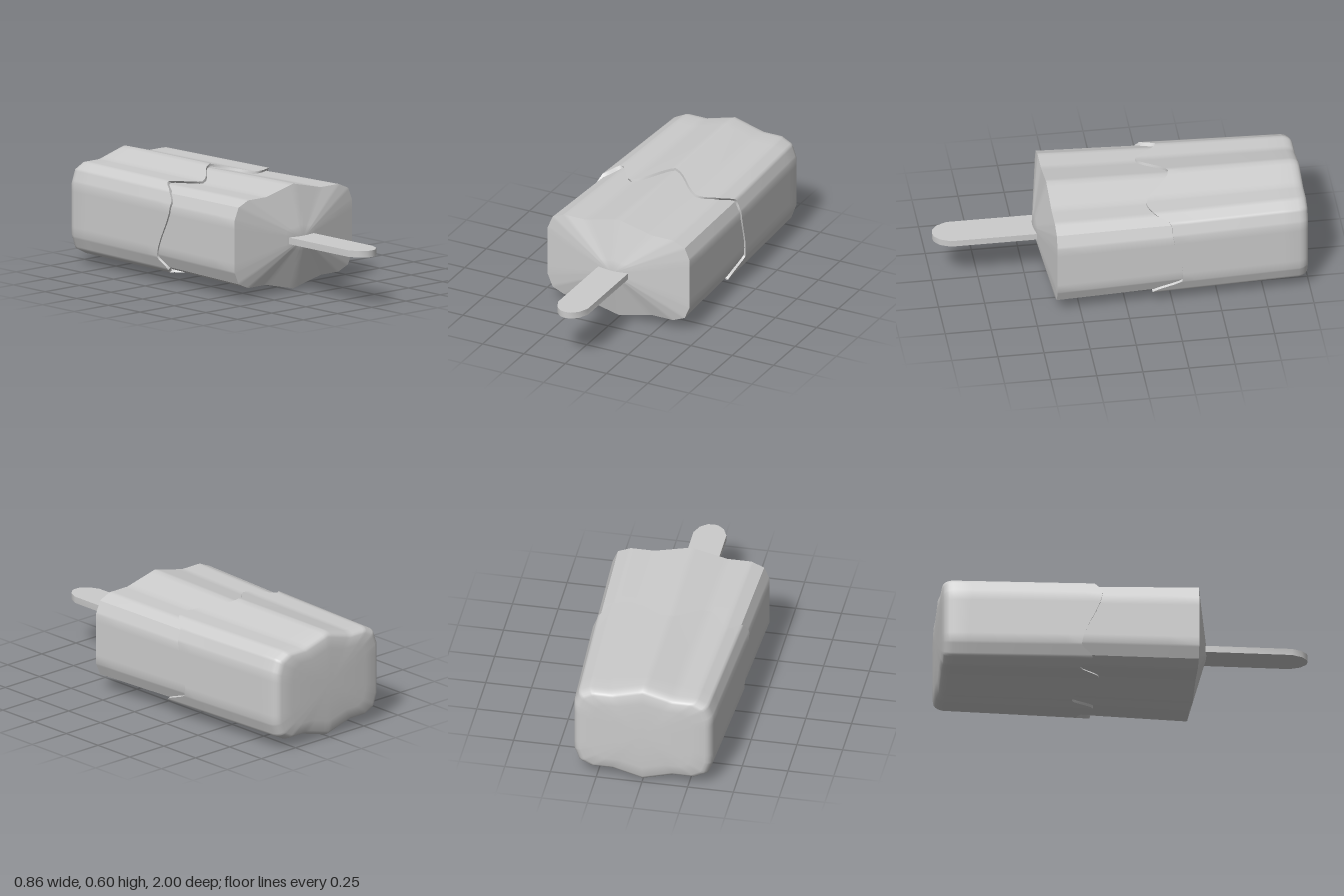
import * as THREE from 'three';
import { toCreasedNormals } from 'three/addons/utils/BufferGeometryUtils.js';

const CENTER_Y = 0.3;
const STEPS = 6; // subdivisions per section edge

// Cross-section corners, counter-clockwise seen from the front
const quarter = [[0.43, 0.14], [0.4, 0.21], [0.33, 0.24], [0.2, 0.24], [0, 0.287]];
const upper = [...quarter, ...quarter.slice(0, 4).reverse().map(([x, y]) => [-x, y])];
const corners = [...upper, ...upper.map(([x, y]) => [-x, -y])];

// Front edge of the coating at each corner: drips and gaps
const drips = [-0.25, -0.24, -0.16, -0.14, -0.28, -0.13, -0.26, -0.18, -0.14,
  -0.25, -0.19, -0.25, -0.14, -0.27, -0.14, -0.22, -0.14, -0.3];

// Evenly subdivided section, each point with its drip position
function sectionPoints() {
  const n = corners.length;
  const points = [];
  for (let i = 0; i < n; i++) {
    const [a, b] = [corners[i], corners[(i + 1) % n]];
    const d = [-1, 0, 1, 2].map((k) => drips[(i + k + n) % n]);
    for (let k = 0; k < STEPS; k++) {
      const t = k / STEPS;
      const edge = d[1] + 0.5 * t * (d[2] - d[0] + t * (2 * d[0] - 5 * d[1] + 4 * d[2] - d[3]
        + t * (3 * (d[1] - d[2]) + d[3] - d[0])));
      points.push({ x: a[0] + (b[0] - a[0]) * t, y: a[1] + (b[1] - a[1]) * t, edge });
    }
  }
  return points;
}

// Skin over rings running front to back; each ring maps a section point to [x, y, z]
function loft(rings, crease) {
  const points = sectionPoints();
  const n = points.length;
  const position = [];
  const index = [];
  rings.forEach((ring, i) => {
    points.forEach((p, j) => {
      const [x, y, z] = ring(p);
      position.push(x, CENTER_Y + y, z);
      if (i === 0) return;
      const a = (i - 1) * n + j, b = (i - 1) * n + (j + 1) % n;
      index.push(a, a + n, b, b, a + n, b + n);
    });
  });
  const geometry = new THREE.BufferGeometry();
  geometry.setAttribute('position', new THREE.Float32BufferAttribute(position, 3));
  geometry.setIndex(index);
  return toCreasedNormals(geometry, crease);
}

export function createModel() {
  const group = new THREE.Group();
  const material = new THREE.MeshStandardMaterial({ color: 0xcccccc, side: THREE.DoubleSide });
  const add = (name, geometry) => {
    const mesh = new THREE.Mesh(geometry, material);
    mesh.name = name;
    group.add(mesh);
    return mesh;
  };

  // Ice body: shallow pointed front, slight taper to the back
  const bodyScale = (z) => 1 - (0.38 - z) * 0.09;
  const bodyRing = (z, s) => (p) => [p.x * s, p.y * (0.6 * s + 0.4 * Math.min(1, s * 1.04)), z];
  const body = [[0.46, 0], [0.44, 0.25], [0.42, 0.5], [0.4, 0.75], [0.38, 1]].map(([z, s]) =>
    (p) => [p.x * s, p.y * s, z]);
  for (let z = 0.38; z > -0.9; z -= 0.16) body.push(bodyRing(z, bodyScale(z)));
  body.push(bodyRing(-0.9, 0));
  add('iceBody', loft(body, 0.7));

  // Coating: thin shell with a dripping front edge and rounded back
  const coatWidth = (z) => 0.977 - (-0.14 - z) * 0.112;
  const coatPoint = (p, z, s) => [p.x * coatWidth(z) * s, p.y * 1.04 * s, z];
  const coat = [(p) => coatPoint(p, p.edge, 0.95)];
  for (let i = 0; i <= 8; i++) {
    coat.push((p) => coatPoint(p, THREE.MathUtils.lerp(p.edge, -0.94, i / 8), 1));
  }
  for (const [z, s] of [[-0.96, 0.988], [-0.975, 0.967], [-0.985, 0.94], [-0.991, 0.9],
    [-0.996, 0.7], [-0.999, 0.35], [-1, 0]]) {
    coat.push((p) => coatPoint(p, z, s));
  }
  add('coating', loft(coat, 0.8));

  // Flat stick with a rounded tip
  const half = [[0.09, 0.35], [0.09, 0.91], [0.066, 0.965], [0.03, 0.995]];
  const outline = [...half, [0, 1], ...half.slice().reverse().map(([x, y]) => [-x, y])];
  const shape = new THREE.Shape(outline.map(([x, y]) => new THREE.Vector2(x, y)));
  const stickGeometry = new THREE.ExtrudeGeometry(shape, { depth: 0.036, bevelEnabled: false });
  stickGeometry.rotateX(Math.PI / 2);
  add('stick', toCreasedNormals(stickGeometry, 0.8)).position.y = 0.313;

  return group;
}
